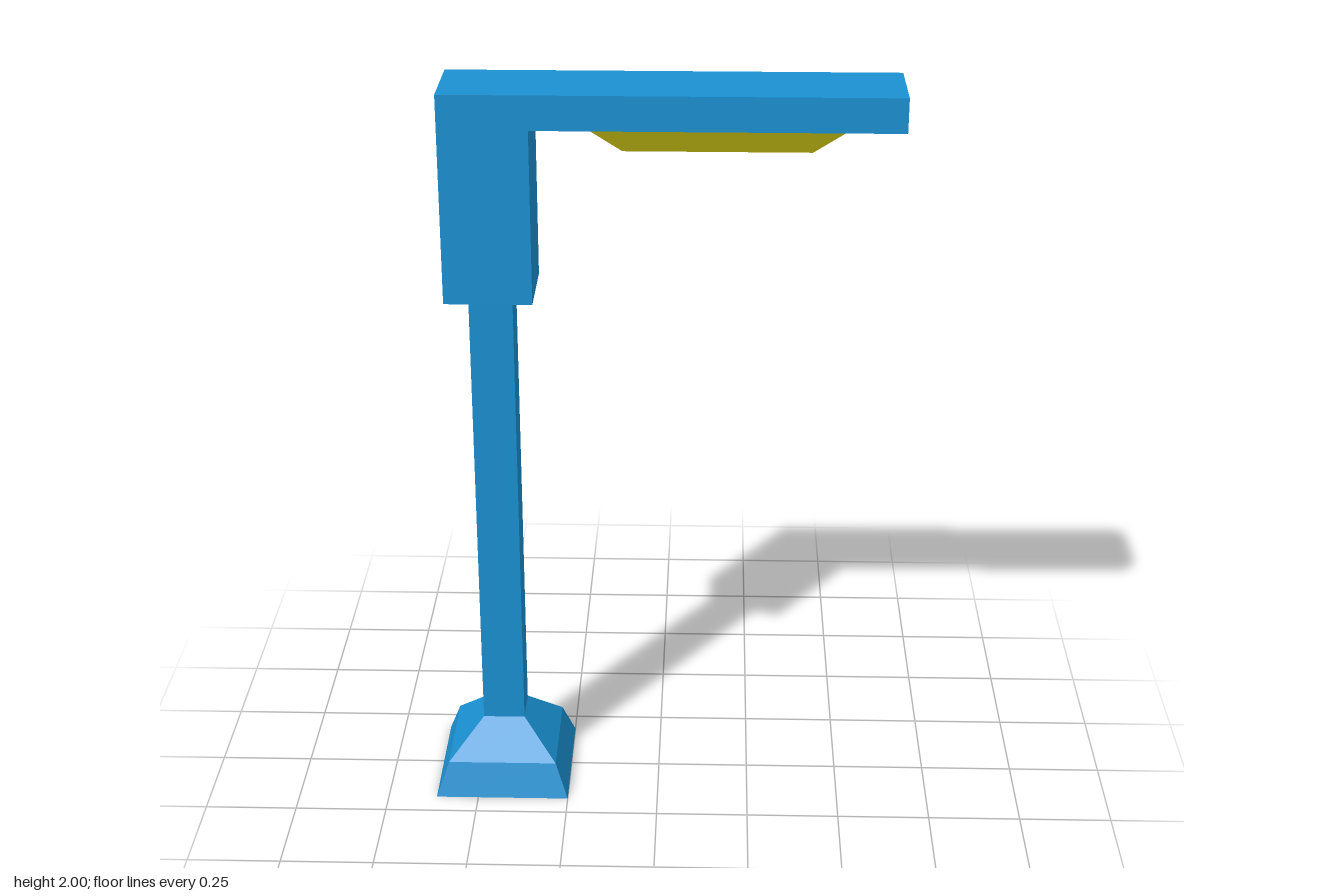
import * as THREE from 'three';

// Closed solid through rectangular cross-sections [y, halfX, halfZ], bottom to top
function stackedFrustum(sections) {
  const rings = sections.map(([y, hx, hz]) => [[-hx, y, hz], [hx, y, hz], [hx, y, -hz], [-hx, y, -hz]]);
  const pos = [];
  const quad = (a, b, c, d) => pos.push(...a, ...b, ...c, ...a, ...c, ...d);
  for (let i = 0; i < rings.length - 1; i++) {
    const lo = rings[i], hi = rings[i + 1];
    for (let k = 0; k < 4; k++) {
      const n = (k + 1) % 4;
      quad(lo[k], lo[n], hi[n], hi[k]);
    }
  }
  quad(...rings[0].slice().reverse());
  quad(...rings[rings.length - 1]);
  const geo = new THREE.BufferGeometry();
  geo.setAttribute('position', new THREE.Float32BufferAttribute(pos, 3));
  geo.computeVertexNormals();
  return geo;
}

export function createModel() {
  const group = new THREE.Group();
  const blue = new THREE.MeshStandardMaterial({ color: 0x1a90d1, flatShading: true });
  const yellow = new THREE.MeshStandardMaterial({ color: 0xbdb812, flatShading: true });
  const add = (name, geo, mat, x = 0, y = 0, z = 0) => {
    const mesh = new THREE.Mesh(geo, mat);
    mesh.name = name;
    mesh.position.set(x, y, z);
    group.add(mesh);
  };
  const poleX = -0.433;

  // Flared square foot
  add('base', stackedFrustum([[0, 0.183, 0.183], [0.093, 0.149, 0.149], [0.187, 0.057, 0.057]]), blue, poleX);

  // Square pole
  add('pole', new THREE.BoxGeometry(0.114, 1.263, 0.114), blue, poleX, 0.187 + 1.263 / 2);

  // L-shaped sleeve and arm
  const outline = new THREE.Shape([
    [-0.548, 1.45], [-0.32, 1.45], [-0.32, 1.91], [0.615, 1.91], [0.615, 2], [-0.548, 2],
  ].map(([x, y]) => new THREE.Vector2(x, y)));
  add('arm', new THREE.ExtrudeGeometry(outline, { depth: 0.228, bevelEnabled: false }), blue, 0, 0, -0.114);

  // Tapered lamp under the arm
  add('lamp', stackedFrustum([[1.842, 0.238, 0.057], [1.91, 0.333, 0.08]]), yellow, 0.148);

  return group;
}
